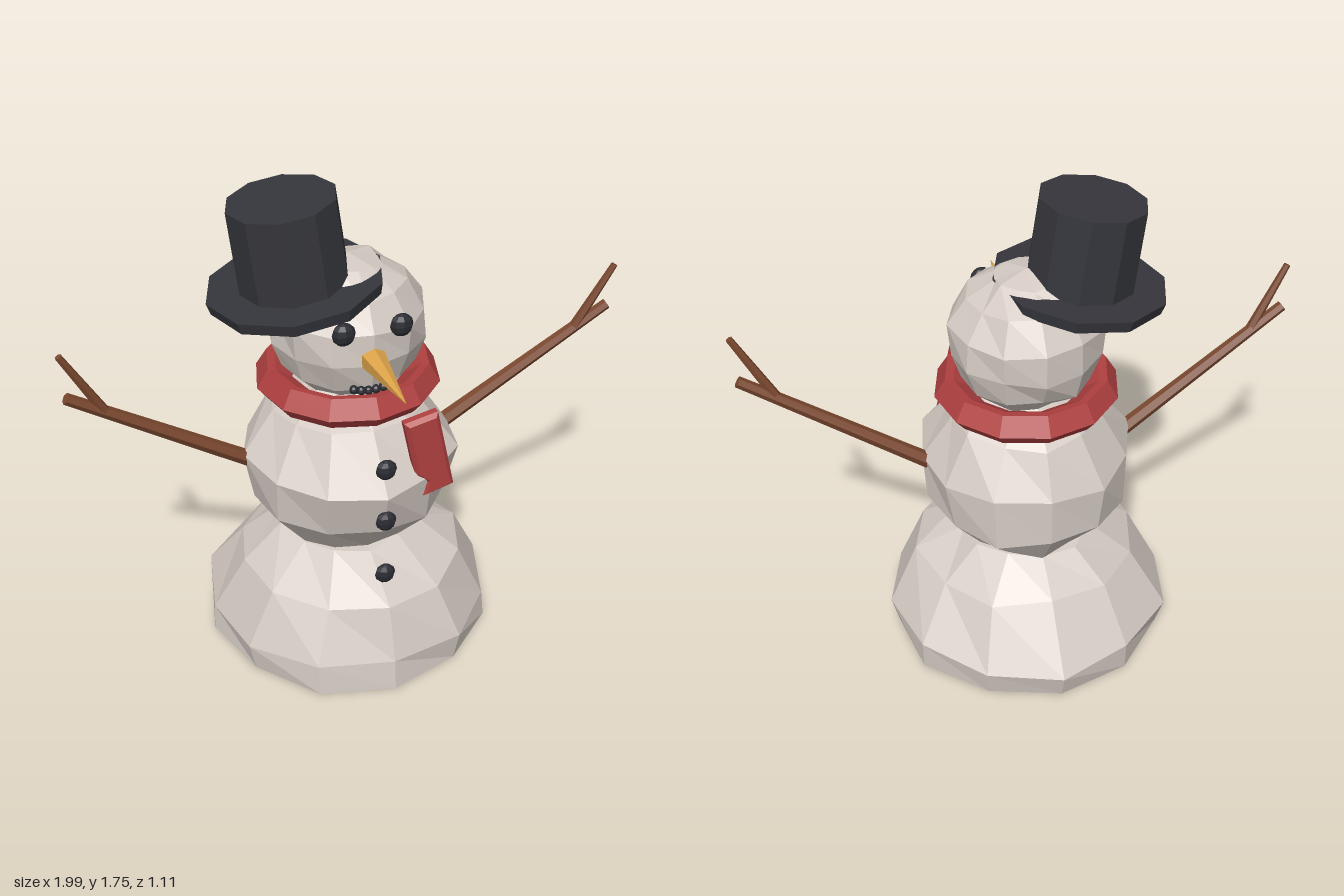
import * as THREE from 'three';

const mat = (name, color) => Object.assign(new THREE.MeshStandardMaterial({ color }), { name });

// Faceted normals for the low-poly look
function flat(geo) {
  const g = geo.index ? geo.toNonIndexed() : geo;
  g.computeVertexNormals();
  return g;
}

// Lumpy 12-sided snowball from rings of [radius, height, z shift]
function snowball(rings, lump, seed) {
  const sides = 12, n = rings.length;
  const geo = new THREE.LatheGeometry(rings.map(([r, y]) => new THREE.Vector2(r, y)), sides);
  const p = geo.attributes.position;
  for (let k = 0; k < p.count; k++) {
    const i = Math.floor(k / n) % sides, j = k % n;
    const r = rings[j][0];
    if (r === 0) continue;
    const a = (i / sides) * Math.PI * 2;
    const bump = r + lump * Math.sin(i * 2.7 + j * 1.9 + seed);
    p.setX(k, bump * Math.sin(a));
    p.setZ(k, bump * Math.cos(a) + (rings[j][2] || 0));
    if (rings[j][1] > 0) p.setY(k, rings[j][1] + lump * Math.cos(i * 1.8 + j * 2.3 + seed));
  }
  return flat(geo);
}

// Tapered stick between two points
function stick(from, to, r0, r1) {
  const a = new THREE.Vector3(...from), b = new THREE.Vector3(...to);
  const dir = b.clone().sub(a);
  const geo = new THREE.CylinderGeometry(r1, r0, dir.length(), 6);
  geo.applyQuaternion(new THREE.Quaternion().setFromUnitVectors(new THREE.Vector3(0, 1, 0), dir.normalize()));
  const mid = a.add(b).multiplyScalar(0.5);
  geo.translate(mid.x, mid.y, mid.z);
  return flat(geo);
}

export function createModel() {
  const root = new THREE.Group();
  root.name = 'snowman';
  const snow = mat('snow', 0xd4cac3);
  const red = mat('scarf red', 0xb04040);
  const black = mat('hat black', 0x35363c);
  const coal = mat('coal', 0x2b2c32);
  const orange = mat('carrot orange', 0xdca348);
  const wood = mat('branch brown', 0x7c4930);

  const add = (name, geo, material, parent = root) => {
    const m = new THREE.Mesh(geo, material);
    m.name = name;
    parent.add(m);
    return m;
  };

  // Three snowballs
  add('base', snowball([[0, 0], [0.53, 0], [0.54, 0.11, -0.01], [0.42, 0.32, 0.03], [0.25, 0.435], [0, 0.46]], 0.011, 1), snow);
  add('body', snowball([[0, 0.38], [0.235, 0.43], [0.365, 0.59], [0.388, 0.78, 0.02], [0.275, 0.95], [0.15, 1.04], [0, 1.06]], 0.01, 2.5), snow);
  add('head', snowball([[0, 0.99], [0.14, 1.02], [0.235, 1.11], [0.27, 1.21], [0.27, 1.32], [0.205, 1.42], [0.11, 1.48], [0, 1.505]], 0.007, 4), snow);

  // Scarf ring and hanging tail
  const scarf = [[0.2, 1.0], [0.295, 0.995], [0.33, 1.04], [0.29, 1.105], [0.26, 1.1], [0.2, 1.06], [0.2, 1.0]];
  add('scarf', flat(new THREE.LatheGeometry(scarf.map(([x, y]) => new THREE.Vector2(x, y)), 12)), red);
  const tail = new THREE.Shape([
    [0.095, 1.005], [0.14, 0.8], [0.18, 0.765], [0.168, 0.715], [0.255, 0.74], [0.19, 1.025],
  ].reverse().map(([x, y]) => new THREE.Vector2(x, y)));
  const tailGeo = new THREE.ExtrudeGeometry(tail, {
    depth: 0.024, bevelEnabled: true, bevelThickness: 0.014, bevelSize: 0.014, bevelSegments: 1,
  });
  tailGeo.translate(0, 0, 0.322);
  add('scarfTail', flat(tailGeo), red);

  // Coal lumps: buttons, eyes and mouth
  const lump = (name, r, x, y, z, depth) => {
    const m = add(name, flat(new THREE.SphereGeometry(r, 8, 6)), coal);
    m.scale.z = depth;
    m.position.set(x, y, z);
    return m;
  };
  [[0.88, 0.393], [0.67, 0.4], [0.44, 0.402]].forEach(([y, z]) => lump('button', 0.038, 0, y, z, 0.62));
  for (const s of [-1, 1]) lump('eye', 0.041, s * 0.1, 1.34, 0.25, 0.65);
  for (let i = 0; i < 6; i++) {
    const x = -0.065 + i * 0.026;
    lump('mouthPebble', 0.016, x, 1.112 + x * x * 3, 0.25, 1);
  }

  // Carrot nose
  const nose = new THREE.ConeGeometry(0.05, 0.32, 6);
  nose.rotateX(Math.PI / 2);
  nose.translate(0, 1.233, 0.39);
  add('nose', flat(nose), orange);

  // Tilted top hat, slipping to one side
  const hat = new THREE.Group();
  hat.name = 'hat';
  hat.position.set(-0.185, 1.415, 0.005);
  hat.rotation.z = 0.13;
  root.add(hat);
  const brim = add('hatBrim', flat(new THREE.CylinderGeometry(0.305, 0.295, 0.042, 10)), black, hat);
  const crown = add('hatCrown', flat(new THREE.CylinderGeometry(0.185, 0.19, 0.3, 10)), black, hat);
  brim.rotation.y = Math.PI / 10;
  crown.position.y = 0.165;
  crown.rotation.y = Math.PI / 10;

  // Branch arms with a side twig
  for (const s of [-1, 1]) {
    const arm = new THREE.Group();
    arm.name = s > 0 ? 'leftArm' : 'rightArm';
    root.add(arm);
    add('branch', stick([s * 0.36, 0.755, 0.01], [s * 0.98, 1.172, 0.065], 0.029, 0.02), wood, arm);
    add('twig', stick([s * 0.855, 1.085, 0.055], [s * 0.985, 1.335, 0.078], 0.019, 0.012), wood, arm);
  }
  return root;
}
